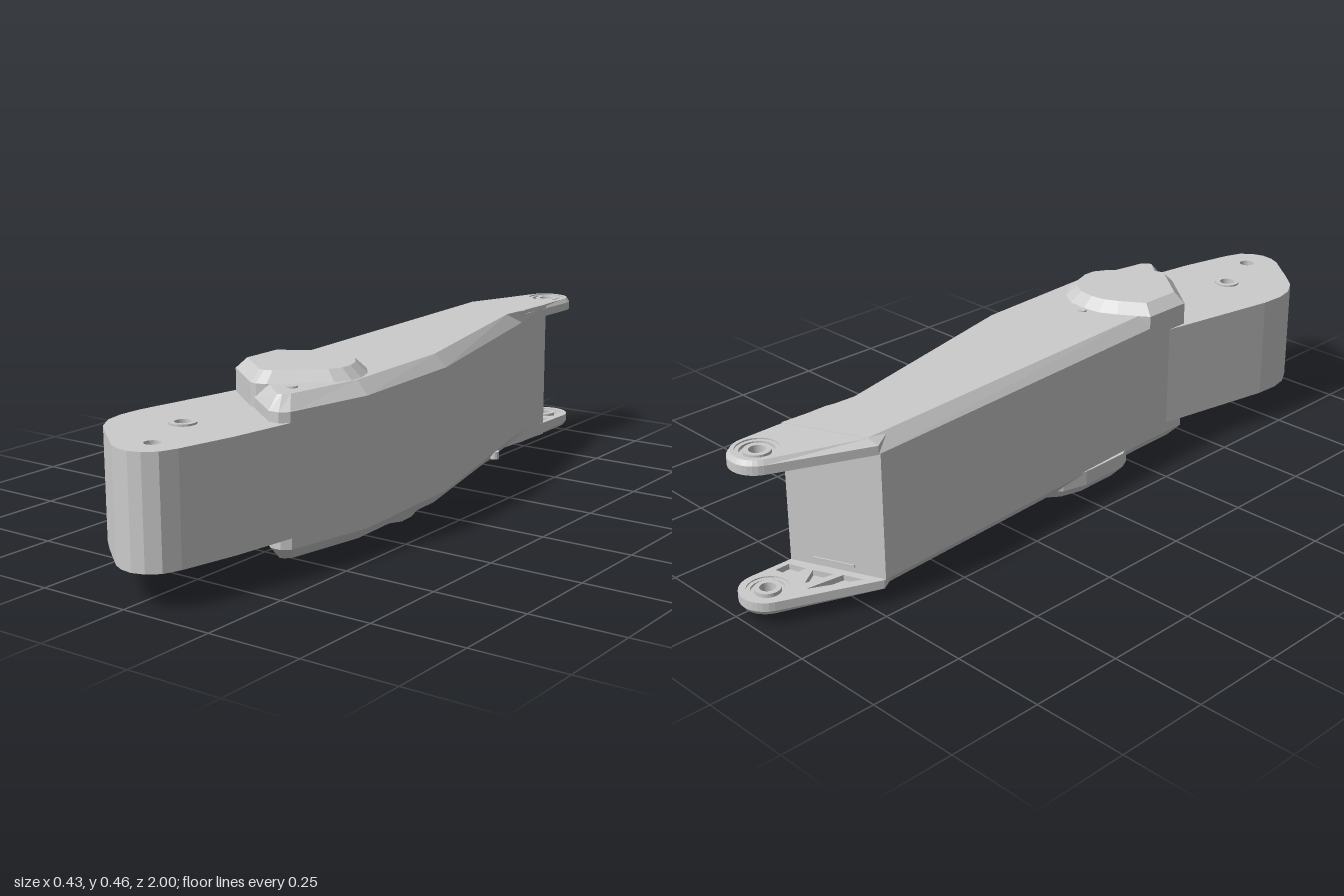
import * as THREE from 'three';

const MID2 = 0.462; // twice the height of the mirror plane between upper and lower parts

// Points are [x, z]; outer loops run counter-clockwise seen from above, holes clockwise.
const circle = (cx, cz, r, n = 28) => Array.from({ length: n }, (_, i) => {
  const a = (i / n) * Math.PI * 2;
  return [cx + r * Math.cos(a), cz - r * Math.sin(a)];
});
const hole = (cx, cz, r, n) => circle(cx, cz, r, n).reverse();
const shrink = (pts, cx, cz, s) => pts.map(([x, z]) => [cx + (x - cx) * s, cz + (z - cz) * s]);
const flip = (layers) => layers.map(([y, p]) => [MID2 - y, p]).reverse();

// Stacked outlines [y, points] from bottom to top, capped, with optional through holes
function solid(name, layers, holes = []) {
  const pos = [];
  const wall = (p, y0, q, y1) => p.forEach((a, i) => {
    const j = (i + 1) % p.length, b = p[j], c = q[j], d = q[i];
    pos.push(a[0], y0, a[1], b[0], y0, b[1], c[0], y1, c[1]);
    pos.push(a[0], y0, a[1], c[0], y1, c[1], d[0], y1, d[1]);
  });
  const cap = (p, y, up) => {
    const v = (l) => l.map(([x, z]) => new THREE.Vector2(x, -z));
    const all = [p, ...holes].flat();
    for (const f of THREE.ShapeUtils.triangulateShape(v(p), holes.map(v)))
      for (const k of up ? f : [...f].reverse()) pos.push(all[k][0], y, all[k][1]);
  };
  for (let i = 0; i + 1 < layers.length; i++)
    wall(layers[i][1], layers[i][0], layers[i + 1][1], layers[i + 1][0]);
  const [y0, p0] = layers[0], [y1, p1] = layers[layers.length - 1];
  for (const h of holes) wall(h, y0, h, y1);
  cap(p0, y0, false);
  cap(p1, y1, true);
  const g = new THREE.BufferGeometry();
  g.setAttribute('position', new THREE.Float32BufferAttribute(pos, 3));
  g.computeVertexNormals();
  const m = new THREE.Mesh(g, new THREE.MeshStandardMaterial({ color: 0xcccccc, flatShading: true }));
  m.name = name;
  return m;
}

const ring = (name, x, z, rOut, rIn, y0, y1) =>
  solid(name, [[y0, circle(x, z, rOut)], [y1, circle(x, z, rOut)]], [hole(x, z, rIn)]);

export function createModel() {
  const group = new THREE.Group();
  group.name = 'armLink';

  // Main housing: full outline and the chamfered outline of its top and bottom faces
  const side = [[0.03, -0.81], [-0.205, -0.71], [-0.15, 0.28], [-0.15, 0.42], [0, 0.53],
    [0.115, 0.618], [0.145, 0.618], [0.165, 0.6], [0.212, 0.36], [0.19, -0.02], [0.03, -0.67]];
  const face = [[0.03, -0.81], [-0.175, -0.723], [-0.122, 0.28], [-0.12, 0.40], [0.01, 0.495],
    [0.115, 0.585], [0.127, 0.582], [0.14, 0.565], [0.178, 0.355], [0.16, -0.01], [0.02, -0.6]];
  group.add(solid('housingUpper', [[0.09, side], [0.398, side], [0.432, face]]));
  group.add(solid('housingLower', [[0.03, face], [0.064, side], [0.09, side]], [hole(0.025, 0.345, 0.117, 40)]));

  // Front arm with through holes and a raised bushing
  const arm = [[-0.15, 0.3], [-0.15, 0.36], [-0.212, 0.7], [-0.215, 0.765], [-0.205, 0.815], [-0.175, 0.865],
    [-0.13, 0.905], [-0.035, 0.982], [-0.005, 0.996], [0.028, 1.0], [0.06, 0.99], [0.09, 0.965],
    [0.107, 0.92], [0.14, 0.77], [0.165, 0.6], [0.17, 0.3]];
  group.add(solid('frontArm', [[0.092, arm], [0.372, arm]],
    [hole(-0.037, 0.745, 0.034), hole(0.025, 0.915, 0.02)]));
  group.add(ring('armBushing', -0.037, 0.745, 0.034, 0.02, 0.087, 0.377));

  // Joint covers above and below
  const topCover = [[-0.15, 0.28], [-0.15, 0.42], [-0.015, 0.525], [0.005, 0.53], [0.03, 0.52], [0.15, 0.41],
    [0.172, 0.37], [0.172, 0.33], [0.155, 0.28], [0.12, 0.235], [0.075, 0.207], [0.02, 0.2],
    [-0.03, 0.207], [-0.075, 0.23]];
  group.add(solid('topCover', [[0.372, topCover], [0.432, topCover], [0.46, shrink(topCover, 0.01, 0.36, 0.82)]]));
  const bottomCover = [[0.02, -0.105], [-0.03, -0.12], [-0.08, -0.115], [-0.12, -0.09], [-0.15, -0.05],
    [-0.168, 0.02], [-0.165, 0.165], [-0.15, 0.195], [-0.12, 0.205], [0.09, 0.19], [0.135, 0.16],
    [0.16, 0.11], [0.155, 0.05], [0.12, -0.02]];
  group.add(solid('bottomCover', [[0, shrink(bottomCover, -0.005, 0.04, 0.84)], [0.03, bottomCover], [0.07, bottomCover]]));

  // Rear ears: outer skin, ribbed inner layer and bearing, mirrored above and below
  const cx = -0.037, cz = -0.93;
  const ear = (r, corner) => [
    ...Array.from({ length: 15 }, (_, i) => {
      const a = (i / 14) * 2.72;
      return [cx + r * Math.cos(a), cz - r * Math.sin(a)];
    }), corner, [-0.15, -0.62], [0.015, -0.62], [0.028, -0.68]];
  const full = ear(0.07, [-0.205, -0.715]);
  const bevel = ear(0.062, [-0.177, -0.723]);
  const bore = hole(cx, cz, 0.052);
  const pockets = [
    [[-0.105, -0.87], [-0.168, -0.748], [-0.118, -0.768]],
    [[-0.082, -0.856], [-0.1, -0.782], [-0.048, -0.805]],
    [[-0.03, -0.858], [-0.03, -0.812], [0.015, -0.828], [0.015, -0.868]],
  ].map((p) => (THREE.ShapeUtils.isClockWise(p.map(([x, z]) => new THREE.Vector2(x, -z))) ? p : p.reverse()));
  const skin = [[0.412, full], [0.42, full], [0.4315, bevel]];
  const ribs = [[0.397, full], [0.412, full]];
  for (const [label, f] of [['Upper', (l) => l], ['Lower', flip]]) {
    const g = new THREE.Group();
    g.name = `rearEar${label}`;
    g.add(solid('earSkin', f(skin), [bore]), solid('earRibs', f(ribs), [bore, ...pockets]));
    const bearing = [[0.052, 0.042, 0.4, 0.428], [0.042, 0.033, 0.405, 0.42], [0.033, 0.02, 0.395, 0.429]];
    for (const [ro, ri, a, b] of bearing) {
      const l = f([[a, circle(cx, cz, ro)], [b, circle(cx, cz, ro)]]);
      g.add(solid('bearingRing', l, [hole(cx, cz, ri)]));
    }
    // Small screws on the housing face
    for (const [x, z, r] of [[0.01, 0.185, 0.012], [0.1, 0.51, 0.014]])
      g.add(solid('screw', f([[0.42, circle(x, z, r, 14)], [0.436, circle(x, z, r, 14)]])));
    group.add(g);
  }

  // Slot strips where the ears meet the rear wall
  for (const y of [0.08, 0.375]) {
    const strip = [[-0.03, -0.793], [-0.13, -0.75], [-0.128, -0.744], [-0.028, -0.787]].map(([x, z]) => [x, z + 0.004]);
    group.add(solid('rearSlot', [[y, shrink(strip, -0.08, -0.77, 1.05)], [y + 0.007, strip]]));
  }

  // Peg on the lower chamfer
  group.add(solid('chamferPeg', [[0.036, circle(0.072, -0.46, 0.013, 14)], [0.058, circle(0.072, -0.46, 0.013, 14)]]));
  return group;
}
